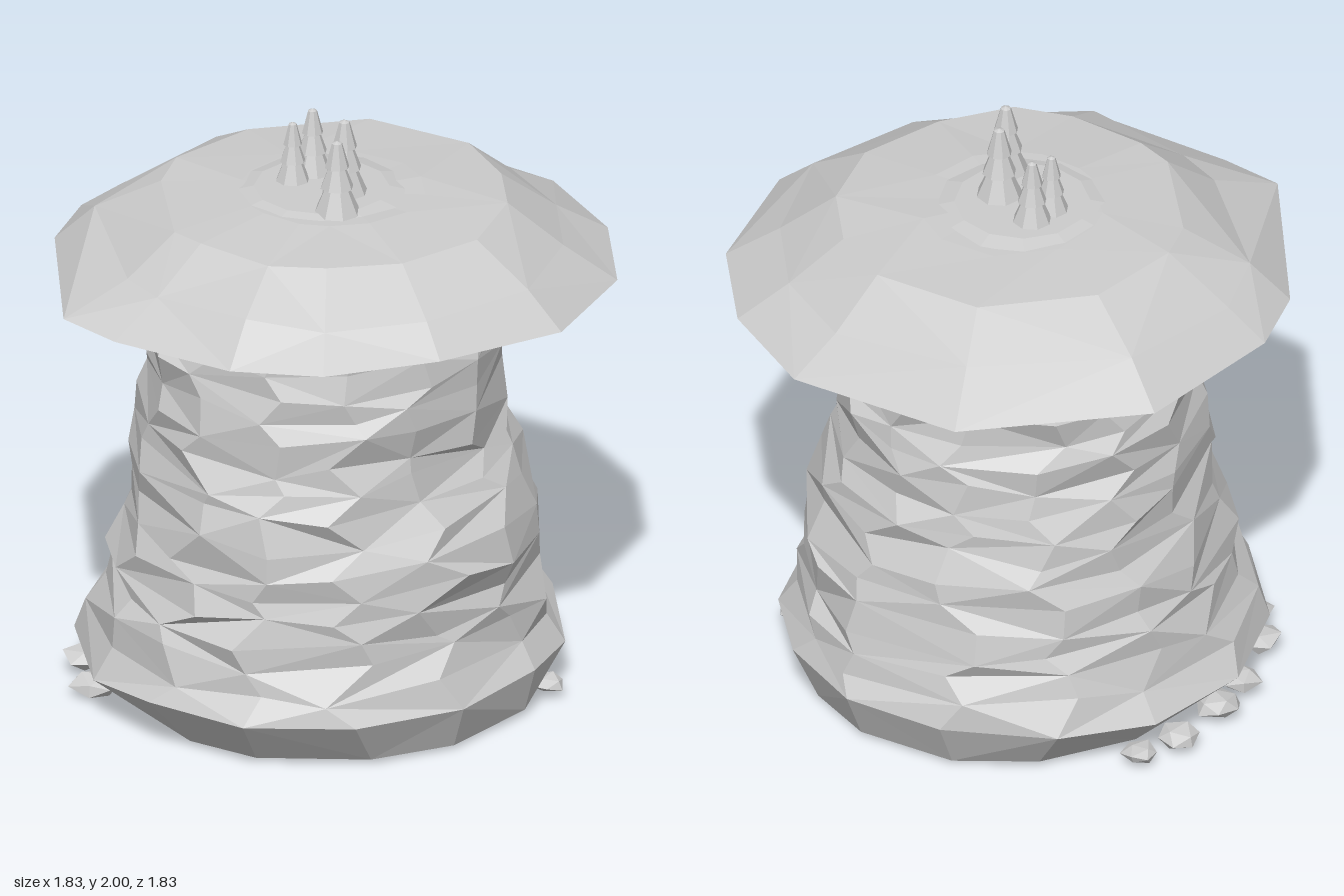
import * as THREE from 'three';

const stone = new THREE.MeshStandardMaterial({ color: 0xcccccc, flatShading: true });
stone.name = 'pale stone';

// Small seeded generator, returns -1..1
function seeded(seed) {
  let s = seed;
  return () => {
    s = (s * 16807) % 2147483647;
    return (s / 2147483647) * 2 - 1;
  };
}

// Skin a list of rings (bottom to top) and close both ends with fans
function loft(rings) {
  const pos = [];
  const tri = (...pts) => pts.forEach((p) => pos.push(p.x, p.y, p.z));
  const n = rings[0].length;
  const middle = (ring) => ring.reduce((sum, p) => sum.add(p), new THREE.Vector3()).divideScalar(n);
  const low = middle(rings[0]);
  const high = middle(rings[rings.length - 1]);
  for (let i = 0; i < n; i++) {
    const j = (i + 1) % n;
    for (let k = 0; k + 1 < rings.length; k++) {
      const a = rings[k], b = rings[k + 1];
      if ((i + k) % 2) {
        tri(a[i], b[i], a[j]);
        tri(a[j], b[i], b[j]);
      } else {
        tri(a[i], b[j], a[j]);
        tri(a[i], b[i], b[j]);
      }
    }
    tri(low, rings[0][i], rings[0][j]);
    const top = rings[rings.length - 1];
    tri(high, top[j], top[i]);
  }
  const g = new THREE.BufferGeometry();
  g.setAttribute('position', new THREE.Float32BufferAttribute(pos, 3));
  g.computeVertexNormals();
  return g;
}

function add(group, name, geometry) {
  const mesh = new THREE.Mesh(geometry, stone);
  mesh.name = name;
  group.add(mesh);
  return mesh;
}

// Rugged column: each level gives height and reach towards -x, +x, -z, +z
function columnGeometry() {
  const rnd = seeded(4211);
  const levels = [[0.022, 0.67, 0.69, 0.7, 0.71], [0.175, 0.83, 0.74, 0.79, 0.86], [0.27, 0.77, 0.7, 0.75, 0.8],
    [0.35, 0.74, 0.67, 0.73, 0.78], [0.43, 0.71, 0.65, 0.72, 0.77], [0.51, 0.7, 0.66, 0.7, 0.76],
    [0.59, 0.68, 0.67, 0.68, 0.75], [0.67, 0.66, 0.64, 0.66, 0.73], [0.76, 0.64, 0.61, 0.64, 0.71],
    [0.85, 0.63, 0.57, 0.63, 0.7], [0.93, 0.62, 0.55, 0.61, 0.68], [1.01, 0.62, 0.55, 0.59, 0.65],
    [1.1, 0.61, 0.56, 0.59, 0.64], [1.18, 0.61, 0.55, 0.57, 0.63], [1.26, 0.6, 0.55, 0.57, 0.63],
    [1.34, 0.59, 0.54, 0.55, 0.61], [1.43, 0.58, 0.55, 0.55, 0.6]];
  const sides = 14;
  return loft(levels.map(([y, left, right, back, front], k) => {
    const rough = k < 2 ? 0.4 : k > 14 ? 0.5 : 1;
    return Array.from({ length: sides }, (_, i) => {
      const a = ((i + rnd() * 0.28 * rough) / sides) * Math.PI * 2;
      const s = 1 + rnd() * 0.035 * rough;
      const c = Math.cos(a), d = Math.sin(a);
      const yy = y + rnd() * (k === 0 ? 0.006 : k === 1 ? 0.025 : 0.028 * rough);
      return new THREE.Vector3(c * s * (c < 0 ? left : right), yy, d * s * (d < 0 ? back : front));
    });
  }));
}

// Wide overhanging cap with an irregular rim
function capGeometry() {
  const rnd = seeded(97);
  const rim = [[-0.3, -0.92], [0.31, -0.89], [0.64, -0.67], [0.86, -0.35], [0.91, 0.1], [0.7, 0.52], [0.42, 0.79],
    [0.14, 0.91], [-0.3, 0.89], [-0.52, 0.84], [-0.87, 0.29], [-0.92, 0.03], [-0.8, -0.49]];
  // [height, radius (0 = use the rim), jitter]
  const levels = [[1.38, 0.57, 0], [1.478, 0, 0.012], [1.59, 0.77, 0.02], [1.712, 0.575, 0.01],
    [1.735, 0.3, 0.004]];
  return loft(levels.map(([y, r, jit]) => rim.map(([x, z]) => {
    const len = Math.hypot(x, z);
    const s = r ? (r + rnd() * jit) / len : 1;
    return new THREE.Vector3(x * s, y + rnd() * jit, z * s);
  })));
}

// Tiered conifer
function treeGeometry(radius, height) {
  const outline = [[0, 0], [1, 0], [0.5, 0.36], [0.7, 0.36], [0.36, 0.64], [0.52, 0.64], [0.22, 0.97], [0, 1]];
  return new THREE.LatheGeometry(outline.map(([r, y]) => new THREE.Vector2(r * radius, y * height)), 8);
}

// Boulder with shifted corners
function rockGeometry(seed) {
  const g = new THREE.IcosahedronGeometry(1, 0);
  const p = g.attributes.position;
  for (let i = 0; i < p.count; i++) {
    const x = p.getX(i), y = p.getY(i), z = p.getZ(i);
    const s = 1 + 0.15 * Math.sin(x * 5 + y * 3 + z * 7 + seed);
    p.setXYZ(i, x * s, y * s, z * s);
  }
  g.computeVertexNormals();
  return g;
}

export function createModel() {
  const model = new THREE.Group();
  model.name = 'rockPillar';

  add(model, 'column', columnGeometry());
  add(model, 'cap', capGeometry());

  // Low mound in the middle of the plateau
  const mound = add(model, 'mound', new THREE.CylinderGeometry(0.22, 0.29, 0.016, 12));
  mound.position.set(-0.03, 1.738, 0.02);

  // Trees: x, z, tip height, radius
  const trees = new THREE.Group();
  trees.name = 'trees';
  [[-0.11, -0.06, 1.97, 0.068], [-0.135, 0.025, 1.95, 0.06], [0.055, 0.02, 2.0, 0.08], [0.105, 0.155, 1.99, 0.078]]
    .forEach(([x, z, top, r]) => {
      add(trees, 'tree', treeGeometry(r, top - 1.735)).position.set(x, 1.735, z);
    });
  model.add(trees);

  // Boulders at the foot: x, height, z, size
  const rocks = new THREE.Group();
  rocks.name = 'rocks';
  [[-0.69, 0.05, -0.39, 0.06], [-0.75, 0.05, -0.24, 0.07], [-0.785, 0.06, -0.03, 0.08], [-0.77, 0.06, 0.13, 0.075],
    [-0.71, 0.055, 0.37, 0.075], [-0.59, 0.04, 0.51, 0.08], [0.68, 0.05, -0.21, 0.06]].forEach(([x, y, z, s], i) => {
    const rock = add(rocks, 'rock', rockGeometry(i * 1.7));
    rock.scale.set(s, s * 0.48, s);
    rock.rotation.y = i * 1.3;
    rock.position.set(x, y, z);
  });
  model.add(rocks);

  return model;
}
